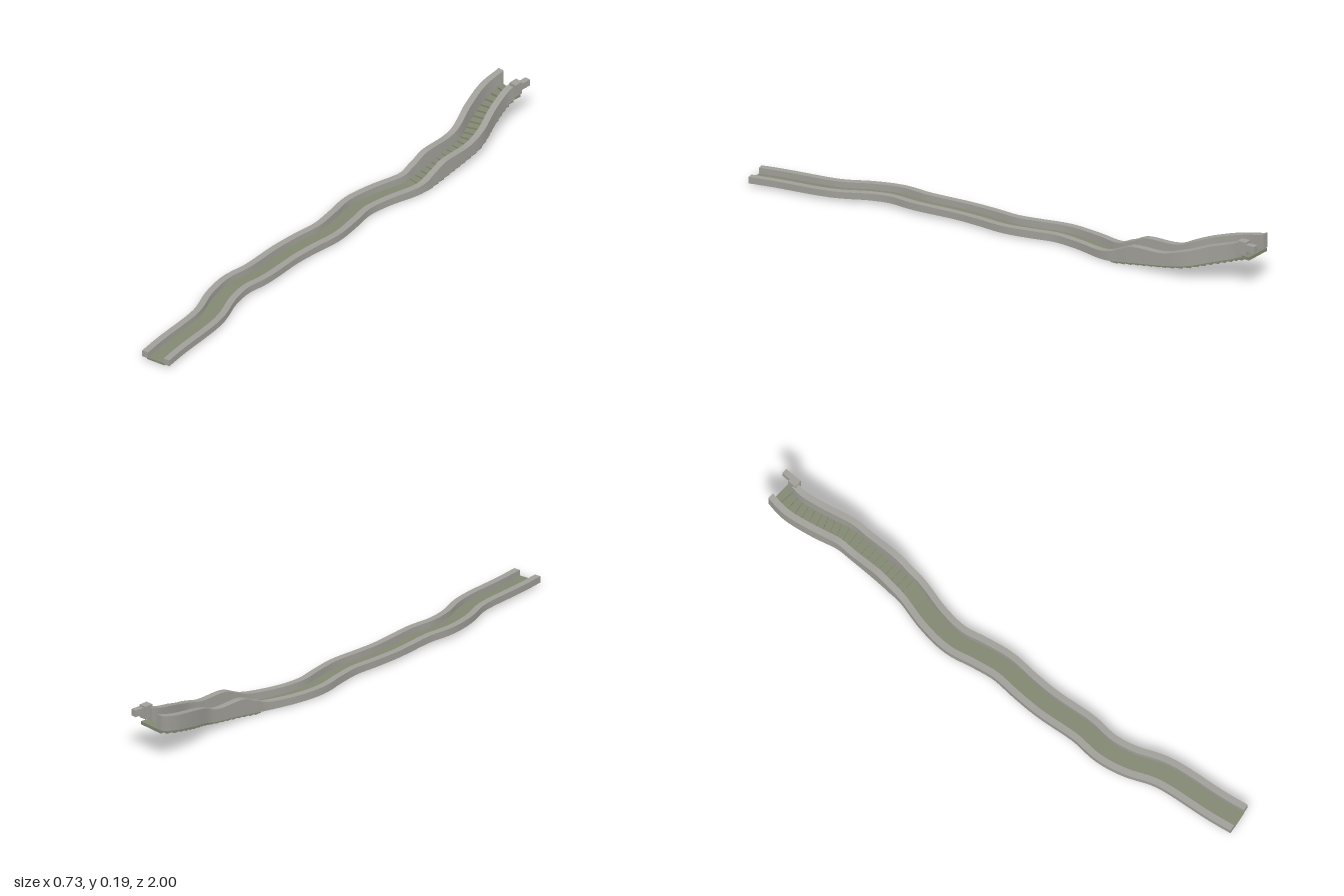
import * as THREE from 'three';

// Path stations from the front end to the top of the stairs: z, x, wall top, floor underside
const STATIONS = [
  [0.995, -0.305, 0.035, 0.006], [0.89, -0.282, 0.036, 0.007], [0.69, -0.23, 0.038, 0.009],
  [0.55, -0.228, 0.040, 0.010], [0.45, -0.21, 0.042, 0.011], [0.35, -0.165, 0.041, 0.010],
  [0.2, -0.12, 0.038, 0.008], [0.1, -0.08, 0.037, 0.006], [0, -0.035, 0.036, 0.004],
  [-0.1, -0.013, 0.036, 0.003], [-0.2, 0.005, 0.035, 0.002], [-0.3, 0.055, 0.034, 0.001],
  [-0.4, 0.125, 0.038, 0.001], [-0.46, 0.152, 0.060, 0.008], [-0.52, 0.176, 0.085, 0.018],
  [-0.63, 0.216, 0.087, 0.034], [-0.7, 0.237, 0.108, 0.048], [-0.8, 0.243, 0.140, 0.074],
  [-0.9, 0.258, 0.165, 0.102], [-0.97, 0.29, 0.185, 0.124],
];
const HALF = 0.059, WALL = 0.025;

const makeCurve = (k) => new THREE.CatmullRomCurve3(
  STATIONS.map((s) => new THREE.Vector3(s[1], s[k], s[0])), false, 'catmullrom', 0.5);
const topCurve = makeCurve(2);
const floorCurve = makeCurve(3);

// Curve parameter at a given z
function uAt(z) {
  let lo = 0, hi = 1;
  for (let i = 0; i < 30; i++) {
    const mid = (lo + hi) / 2;
    if (topCurve.getPoint(mid).z > z) lo = mid; else hi = mid;
  }
  return (lo + hi) / 2;
}

// Sweep a four-sided section along the path; its long edges stay sharp
function sweep(u0, u1, steps, left, right, bottomAt, topAt) {
  const rings = [];
  for (let i = 0; i <= steps; i++) {
    const u = u0 + (u1 - u0) * i / steps;
    const c = topCurve.getPoint(u);
    const t = topCurve.getTangent(u).setY(0).normalize();
    const at = (o, y) => [c.x - t.z * o, y, c.z + t.x * o];
    const b = bottomAt(u), h = topAt(u);
    rings.push([at(left, b), at(right, b), at(right, h), at(left, h)]);
  }
  const pos = [], idx = [];
  for (let f = 0; f < 4; f++) {
    const base = pos.length / 3;
    rings.forEach((r) => pos.push(...r[f], ...r[(f + 1) % 4]));
    for (let i = 0; i < steps; i++) {
      const p = base + i * 2;
      idx.push(p + 1, p, p + 2, p + 1, p + 2, p + 3);
    }
  }
  // End caps
  let e = pos.length / 3;
  rings[0].forEach((p) => pos.push(...p));
  idx.push(e, e + 1, e + 2, e, e + 2, e + 3);
  e += 4;
  rings[steps].forEach((p) => pos.push(...p));
  idx.push(e, e + 2, e + 1, e, e + 3, e + 2);
  const g = new THREE.BufferGeometry();
  g.setAttribute('position', new THREE.Float32BufferAttribute(pos, 3));
  g.setIndex(idx);
  g.computeVertexNormals();
  return g;
}

export function createModel() {
  const model = new THREE.Group();
  model.name = 'windingWalledPath';
  const stone = new THREE.MeshStandardMaterial({ color: 0xa09f99 });
  stone.name = 'wallStone';
  const paving = new THREE.MeshStandardMaterial({ color: 0x828872 });
  paving.name = 'floorPaving';
  const add = (name, geometry, material, parent = model) => {
    const mesh = new THREE.Mesh(geometry, material);
    mesh.name = name;
    parent.add(mesh);
    return mesh;
  };
  const floorY = (u) => floorCurve.getPoint(u).y;
  const topY = (u) => topCurve.getPoint(u).y;

  // Parapet walls on both sides
  const wallFoot = (u) => floorY(u) + 0.004;
  add('rightWall', sweep(0, 1, 120, -HALF, -HALF + WALL, wallFoot, topY), stone);
  add('leftWall', sweep(0, uAt(-0.945), 120, HALF - WALL, HALF, wallFoot, topY), stone);

  // Level walkway
  const stairStart = -0.43;
  const inner = HALF - WALL + 0.004;
  add('walkway', sweep(0, uAt(stairStart), 90, -inner, inner, floorY, (u) => floorY(u) + 0.007), paving);

  // Stair treads, each a short level slab following the bend
  const stairs = new THREE.Group();
  stairs.name = 'stairs';
  model.add(stairs);
  const count = 20, run = (0.97 + stairStart) / count;
  for (let i = 0; i < count; i++) {
    const u0 = uAt(stairStart - i * run);
    const u1 = i === count - 1 ? 1 : uAt(stairStart - (i + 1) * run);
    const y = floorY(u0);
    add('step', sweep(u0, u1, 2, -HALF + 0.004, HALF - 0.004, () => y - 0.001, () => y + 0.011), paving, stairs);
  }

  // Raised post and stub that finish the left wall
  const post = add('endPost', new THREE.BoxGeometry(0.03, 0.05, 0.035), stone);
  post.position.set(0.329, 0.162, -0.927);
  post.rotation.y = -0.35;
  const stub = add('endStub', new THREE.BoxGeometry(0.022, 0.026, 0.04), stone);
  stub.position.set(0.348, 0.167, -0.957);
  stub.rotation.y = -0.4;

  return model;
}
